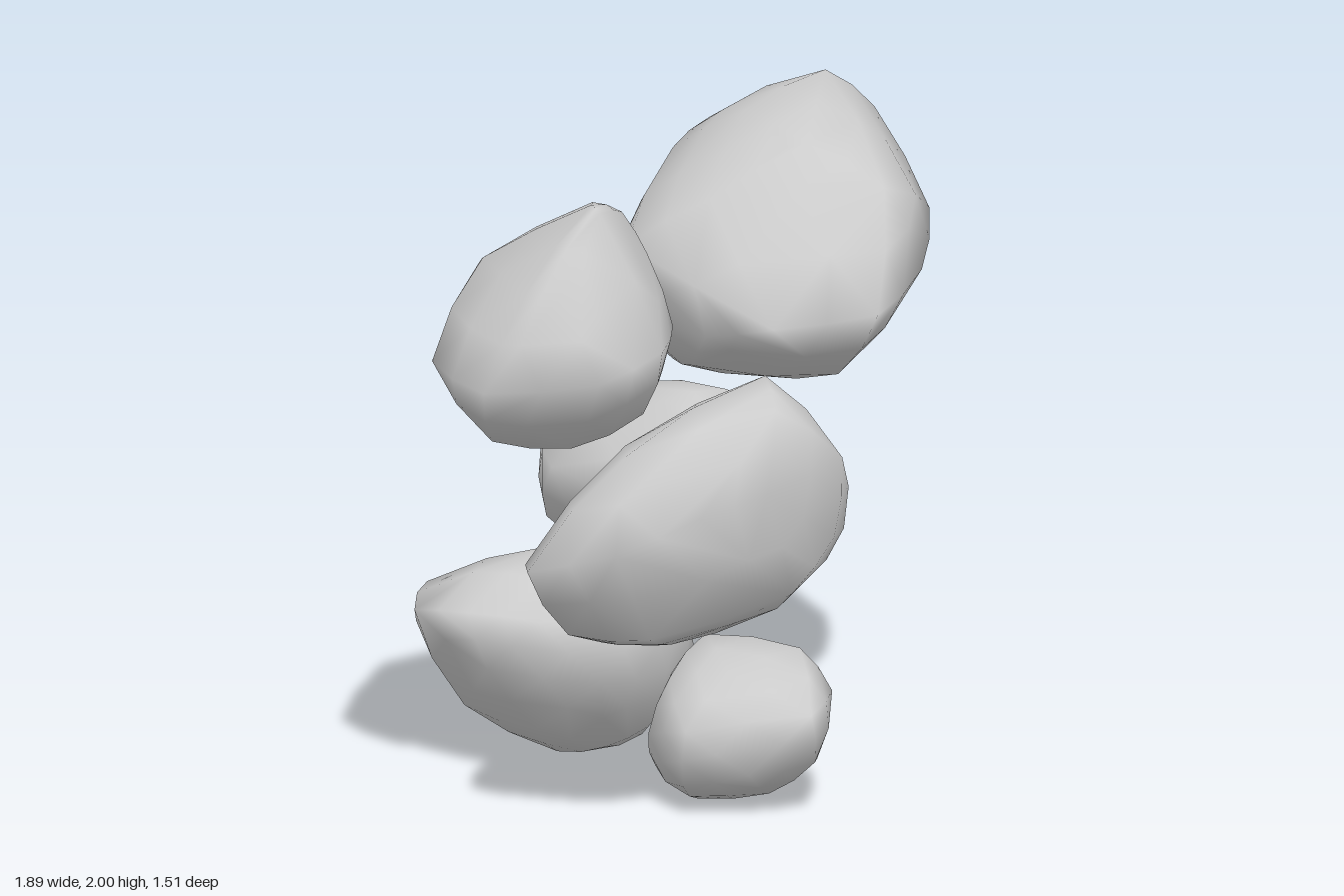
import * as THREE from 'three';
import { ConvexGeometry } from 'three/addons/geometries/ConvexGeometry.js';
import { mergeVertices } from 'three/addons/utils/BufferGeometryUtils.js';

const material = new THREE.MeshStandardMaterial({ color: 0xcccccc });

// Convex hull with shared vertices and smooth normals
function smoothHull(points) {
  const hull = new ConvexGeometry(points);
  hull.deleteAttribute('normal');
  const geometry = mergeVertices(hull, 1e-4);
  geometry.computeVertexNormals();
  return geometry;
}

// Middle of every hull edge, lifted outwards to round the faces between corners
function liftedMidpoints(geometry) {
  const { position, normal } = geometry.attributes;
  const index = geometry.index.array;
  const read = (attribute, i) => new THREE.Vector3().fromBufferAttribute(attribute, i);
  const points = [];
  for (let i = 0; i < index.length; i++) {
    const from = index[i];
    const to = index[i % 3 === 2 ? i - 2 : i + 1];
    if (from > to) continue;
    const a = read(position, from), b = read(position, to);
    const na = read(normal, from), nb = read(normal, to);
    const edge = b.clone().sub(a);
    points.push(a.add(b).multiplyScalar(0.5)
      .addScaledVector(na, -edge.dot(na) / 13)
      .addScaledVector(nb, edge.dot(nb) / 13));
  }
  return points;
}

// A rock is a rounded hull around a few corners
function rock(name, corners) {
  const points = corners.map((c) => new THREE.Vector3(...c));
  const mesh = new THREE.Mesh(smoothHull([...points, ...liftedMidpoints(smoothHull(points))]), material);
  mesh.name = name;
  return mesh;
}

// Corners of each rock, as [x, y, z]
const rocks = {
  upperLeftRock: [
    [0.79, 2.0, -0.07], [0.93, 1.87, 0], [0.9, 1.89, -0.2], [0.94, 1.72, -0.17], [0.46, 1.94, -0.1],
    [0.4, 1.91, 0.2], [0.31, 1.87, 0.1], [0.45, 1.81, 0.46], [0.13, 1.765, 0.05],
    [0.01, 1.61, -0.17], [0.0, 1.39, 0.15], [0.03, 1.45, 0.39], [0.25, 1.49, 0.61],
    [0.55, 1.55, 0.52], [0.8, 1.65, 0.33], [0.83, 1.65, -0.32], [0.6, 1.84, -0.36],
    [0.39, 1.8, -0.32], [0.67, 1.45, -0.475], [0.39, 1.5, -0.465], [0.13, 1.52, -0.32],
    [0.1, 1.38, -0.26], [0.2, 1.22, -0.15], [0.11, 1.25, 0], [0.3, 1.26, 0.41],
    [0.35, 1.175, 0.03], [0.45, 1.23, -0.3], [0.6, 1.2, 0], [0.74, 1.29, -0.05],
    [0.8, 1.43, -0.2], [0.62, 1.28, 0.2],
  ],
  upperRightRock: [
    [-0.5, 1.905, 0.14], [-0.4, 1.865, 0.1], [-0.52, 1.89, 0.19], [-0.6, 1.81, 0.22], [-0.75, 1.7, 0.24],
    [-0.25, 1.81, 0.04], [-0.16, 1.765, -0.14], [-0.08, 1.6, -0.265],
    [-0.06, 1.53, -0.02], [-0.42, 1.6, -0.35], [-0.6, 1.7, -0.2], [-0.8, 1.69, 0.14],
    [-0.25, 1.7, 0.14], [-0.26, 1.5, 0.25], [-0.49, 1.5, 0.41],
    [-0.75, 1.45, 0.39], [-0.94, 1.41, 0.1], [-0.88, 1.45, -0.155], [-0.81, 1.22, 0.02],
    [-0.66, 1.2, 0.2], [-0.45, 1.28, 0.3], [-0.4, 1.21, 0.1], [-0.17, 1.37, -0.1],
    [-0.25, 1.33, -0.22], [-0.45, 1.23, -0.16],
  ],
  middleRightRock: [
    [-0.165, 1.38, 0.53], [-0.3, 1.33, 0.69], [-0.06, 1.27, 0.35], [0.06, 1.2, 0.33],
    [0.1, 1.0, 0.31], [0.1, 0.9, 0.61], [0.105, 0.82, 0.45], [0.07, 0.7, 0.28],
    [-0.07, 0.605, 0.35], [-0.31, 0.535, 0.18], [-0.1, 0.61, 0.44], [-0.45, 0.59, 0.41],
    [-0.6, 0.645, 0.46], [-0.73, 0.65, 0.25], [-0.88, 0.87, 0.22], [-0.79, 0.95, 0.49],
    [-0.66, 1.22, 0.42], [-0.58, 1.05, 0.64], [-0.39, 1.1, 0.735], [-0.07, 1.15, 0.75],
    [-0.1, 0.91, 0.745], [-0.25, 0.76, 0.71], [-0.35, 1.13, 0.17], [-0.4, 0.8, 0.03],
    [-0.7, 0.85, 0.08], [-0.05, 0.85, 0.15],
  ],
  middleLeftRock: [
    [0.13, 1.195, 0.12], [-0.02, 1.17, 0], [0.1, 1.165, -0.21], [0.37, 1.03, 0],
    [0.36, 1.03, 0.2], [0.41, 0.87, 0.3], [0.2, 0.98, -0.49], [-0.03, 0.97, -0.47],
    [-0.03, 0.73, -0.45], [0.26, 0.76, -0.505], [0.33, 0.95, -0.36], [0.49, 0.66, -0.1],
    [0.485, 0.6, 0.05], [0.36, 0.51, 0.03], [0.25, 0.58, -0.28], [0.42, 0.65, 0.26],
    [0.15, 0.62, 0.3], [0.2, 0.91, 0.335], [0.05, 1.06, 0.25], [-0.1, 1.05, 0.15],
    [0, 0.6, 0.1], [-0.2, 0.95, -0.28], [-0.18, 0.9, 0.1], [-0.1, 0.7, -0.2],
  ],
  lowerBackRock: [
    [-0.1, 0.665, -0.38], [-0.44, 0.53, -0.4], [-0.44, 0.5, -0.61], [-0.24, 0.52, -0.735],
    [-0.2, 0.35, -0.755], [0.125, 0.34, -0.69], [0.2, 0.35, -0.5], [0.15, 0.55, -0.25],
    [0.2, 0.46, -0.18], [0.235, 0.33, -0.1], [0.19, 0.17, -0.38], [0.1, 0.06, -0.23],
    [0.1, 0.06, -0.42], [-0.05, 0.02, -0.39], [-0.05, 0.12, -0.65], [0.13, 0.2, -0.6],
    [-0.25, 0.17, -0.58], [-0.41, 0.36, -0.35], [-0.25, 0.15, -0.3], [-0.05, 0.07, -0.2],
    [0.02, 0.14, -0.09], [0, 0.33, 0], [-0.1, 0.51, 0], [0.1, 0.5, -0.05],
    [-0.35, 0.52, -0.2], [-0.22, 0.33, -0.07],
  ],
  lowerFrontRock: [
    [-0.06, 0.325, 0.62], [-0.01, 0.165, 0.59], [0.17, 0.33, 0.5], [0.15, 0.445, 0.39],
    [-0.1, 0.41, 0.33], [0.1, 0.435, 0.06], [0.24, 0.33, 0.2], [0.2, 0.2, 0.13],
    [0.2, 0.15, 0.3], [0.14, 0.07, 0.33], [-0.1, 0, 0.21], [0, 0.03, 0.4],
    [-0.27, 0.09, 0.3], [-0.295, 0.27, 0.33], [-0.18, 0.3, 0.47], [-0.15, 0.37, 0.14],
    [0.1, 0.3, -0.02], [-0.1, 0.07, 0.04], [-0.2, 0.2, 0.1], [-0.18, 0.14, 0.48], [0.15, 0.14, 0.45],
  ],
};

export function createModel() {
  const group = new THREE.Group();
  group.name = 'rockCluster';
  for (const [name, corners] of Object.entries(rocks)) group.add(rock(name, corners));
  return group;
}
